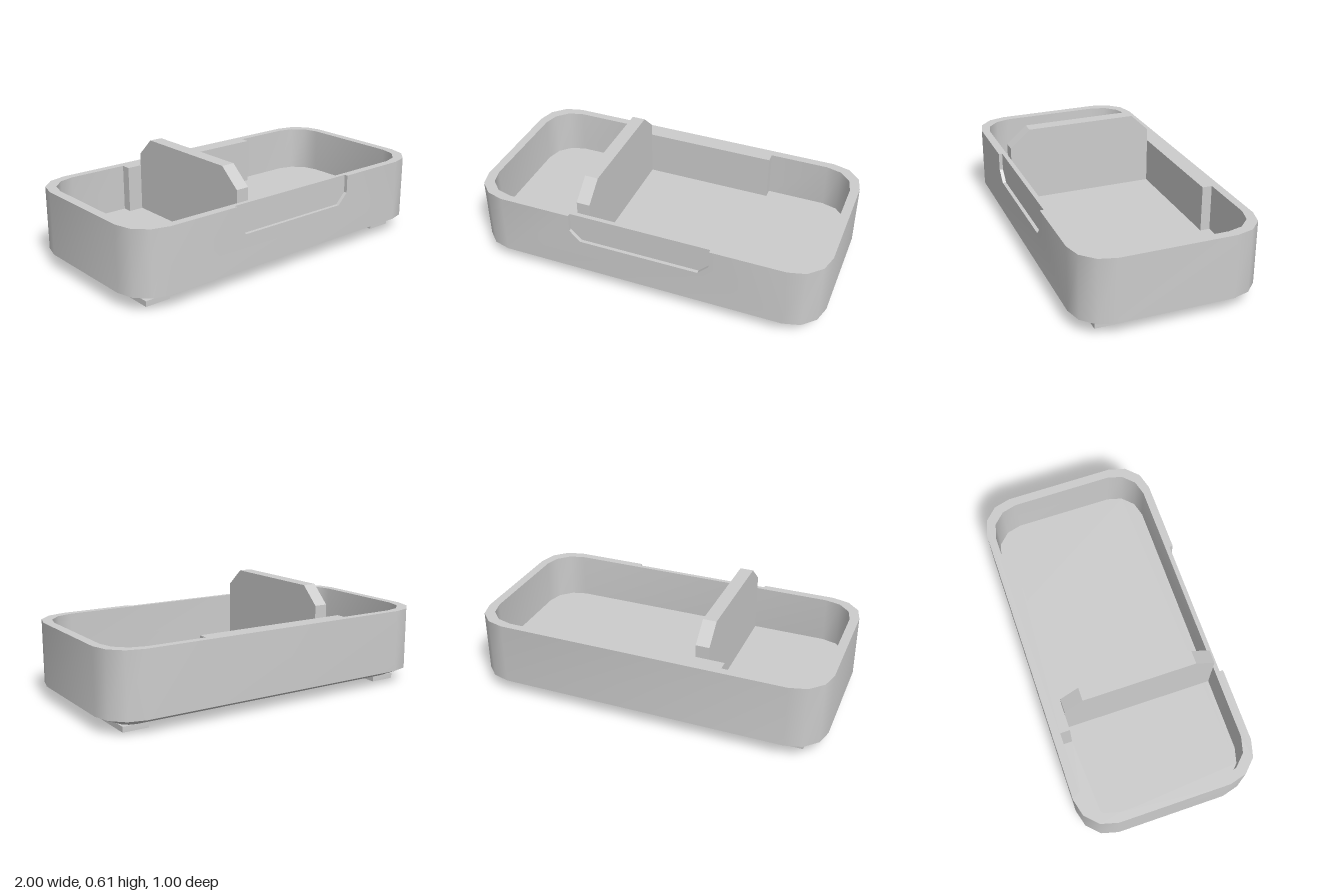
import * as THREE from 'three';
import { mergeGeometries, toCreasedNormals } from 'three/addons/utils/BufferGeometryUtils.js';

const RIM = 0.435, FLOOR = 0.175, CHAMFER = 0.08, BASE = 0.03;
const FRONT = 0.5, RECESS = 0.48;

// Rounded rectangle as [x, z] points, four per corner, starting at +x +z
function outline(hw, hd, r) {
  const pts = [];
  [[1, 1], [-1, 1], [-1, -1], [1, -1]].forEach(([sx, sz], c) => {
    for (let i = 0; i <= 3; i++) {
      const a = (c + i / 3) * Math.PI / 2;
      pts.push([sx * (hw - r) + r * Math.cos(a), sz * (hd - r) + r * Math.sin(a)]);
    }
  });
  return pts;
}

const at = (pts, y) => pts.map(([x, z]) => [x, y, z]);
const closed = (pts) => [...pts, pts[0]];

// Band of quads between two point rows
function strip(a, b) {
  const pos = [];
  for (let i = 0; i < a.length - 1; i++) {
    pos.push(...a[i], ...b[i], ...a[i + 1], ...a[i + 1], ...b[i], ...b[i + 1]);
  }
  return new THREE.BufferGeometry().setAttribute('position', new THREE.Float32BufferAttribute(pos, 3));
}

// Flat polygon in the xy plane, facing +z
function polygon(pts, hole) {
  const v = (list) => list.map(([x, y]) => new THREE.Vector2(x, y));
  const shape = new THREE.Shape(v(pts));
  if (hole) shape.holes.push(new THREE.Path(v(hole)));
  const g = new THREE.ShapeGeometry(shape).toNonIndexed();
  g.deleteAttribute('uv');
  g.deleteAttribute('normal');
  return g;
}

const flip = (pts) => pts.map(([x, z]) => [x, -z]);
const faceUp = (pts, y, hole) =>
  polygon(flip(pts), hole && flip(hole)).rotateX(-Math.PI / 2).translate(0, y, 0);
const faceDown = (pts, y) => polygon(pts).rotateX(Math.PI / 2).translate(0, y, 0);

function trayGeometry() {
  const outer = outline(1, 0.5, 0.19);
  const bottom = outline(0.89, 0.39, 0.08);
  const inner = outline(0.95, 0.455, 0.17);
  // Thickened middle of the back wall
  inner.splice(12, 0, [-0.45, -0.455], [-0.45, -0.4], [0.45, -0.4], [0.45, -0.455]);

  // Finger recess cut into the front wall
  const notch = [[-0.4, RIM], [-0.4, 0.335], [-0.34, 0.275], [0.34, 0.275], [0.4, 0.335], [0.4, RIM]];
  const rim = outer.slice();
  rim.splice(4, 0, [0.4, FRONT], [0.4, RECESS], [-0.4, RECESS], [-0.4, FRONT]);

  // Outer wall without the front straight, which carries the recess
  const wall = [...outer.slice(4), ...outer.slice(0, 4)];
  const [fx] = outer[3];
  const front = [[-fx, CHAMFER], [fx, CHAMFER], [fx, RIM], ...notch.slice().reverse(), [-fx, RIM]];
  const cavity = closed(inner).reverse();

  return toCreasedNormals(mergeGeometries([
    strip(at(wall, CHAMFER), at(wall, RIM)),
    strip(at(closed(bottom), BASE), at(closed(outer), CHAMFER)),
    strip(at(cavity, FLOOR), at(cavity, RIM)),
    faceDown(bottom, BASE),
    faceUp(rim, RIM, inner),
    faceUp(inner, FLOOR),
    polygon(front).translate(0, 0, FRONT),
    polygon(notch).translate(0, 0, RECESS),
    strip(notch.map(([x, y]) => [x, y, RECESS]), notch.map(([x, y]) => [x, y, FRONT])),
  ]), 0.6);
}

// Upright partition with sloped top corners
function dividerGeometry() {
  const profile = [[-0.4, FLOOR], [0.455, FLOOR], [0.455, 0.505], [0.34, 0.605], [-0.295, 0.605], [-0.4, 0.505]];
  const shape = new THREE.Shape(profile.map(([z, y]) => new THREE.Vector2(z, y)));
  return new THREE.ExtrudeGeometry(shape, { depth: 0.075, bevelEnabled: false })
    .rotateY(-Math.PI / 2).translate(-0.29, 0, 0);
}

export function createModel() {
  const group = new THREE.Group();
  const material = new THREE.MeshStandardMaterial({ color: 0xcccccc });
  const add = (name, geometry) => {
    const mesh = new THREE.Mesh(geometry, material);
    mesh.name = name;
    group.add(mesh);
    return mesh;
  };

  add('tray', trayGeometry());
  add('divider', dividerGeometry());
  // Long foot pads under both ends
  for (const [name, side] of [['leftFoot', 1], ['rightFoot', -1]]) {
    add(name, new THREE.BoxGeometry(0.145, BASE, 0.78)).position.set(side * 0.818, BASE / 2, 0);
  }
  return group;
}
